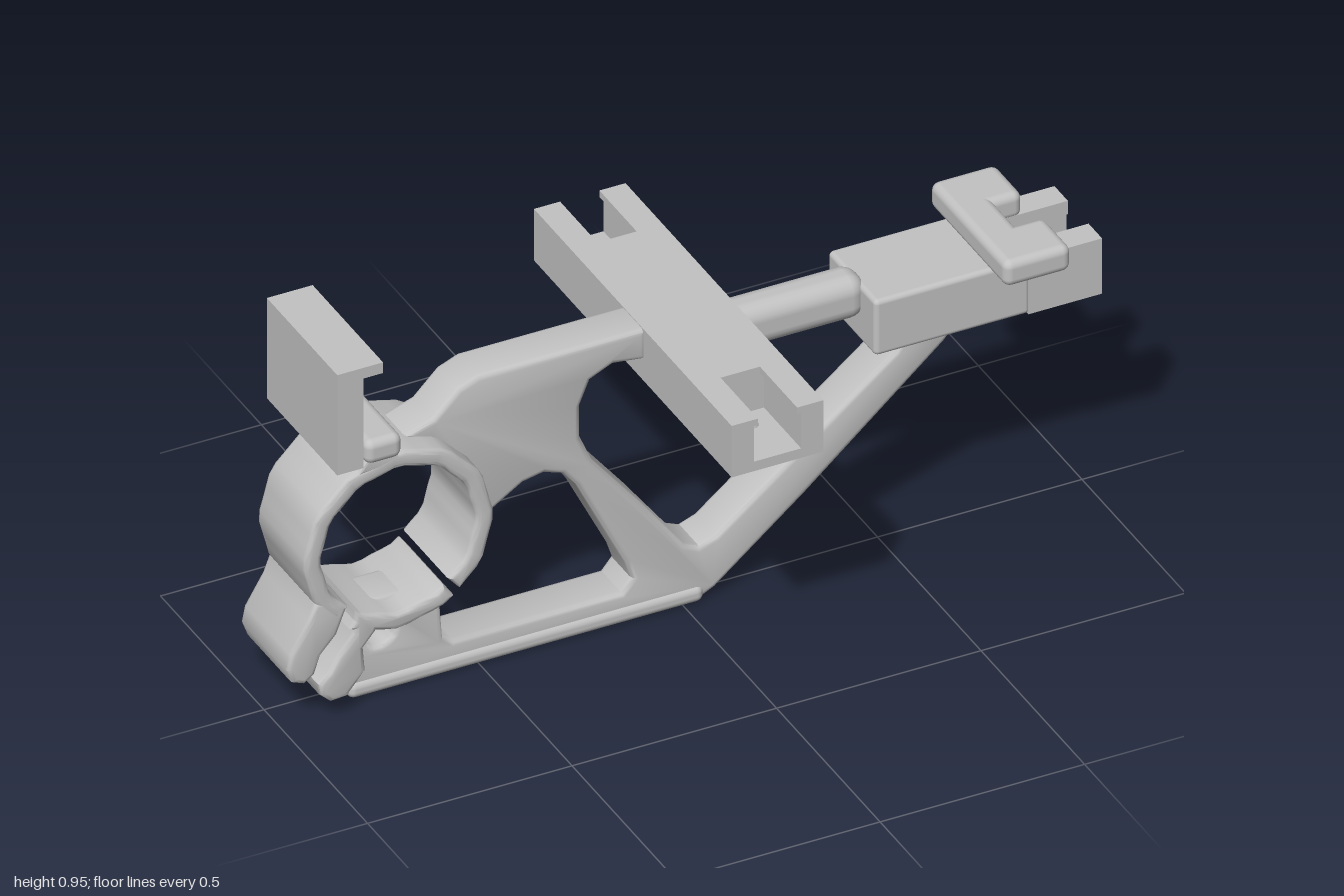
import * as THREE from 'three';
import { toCreasedNormals } from 'three/addons/utils/BufferGeometryUtils.js';
import { RoundedBoxGeometry } from 'three/addons/geometries/RoundedBoxGeometry.js';

const grey = new THREE.MeshStandardMaterial({ color: 0xc2c2c2 });
grey.name = 'light grey';
const ZC = -0.005; // middle plane of the frame and ring

function add(parent, geo, name) {
  const m = new THREE.Mesh(geo, grey);
  m.name = name;
  parent.add(m);
  return m;
}

// box given by its limits, optionally rounded
function box(parent, name, x0, x1, y0, y1, z0, z1, r = 0) {
  const s = [x1 - x0, y1 - y0, z1 - z0];
  const geo = r ? new RoundedBoxGeometry(...s, 3, r) : new THREE.BoxGeometry(...s);
  geo.translate((x0 + x1) / 2, (y0 + y1) / 2, (z0 + z1) / 2);
  return add(parent, geo, name);
}

const shapeOf = (pts) => new THREE.Shape(pts.map(([x, y]) => new THREE.Vector2(x, y)));

// outline in x,y made into a solid with softened edges, centred on ZC
function slab(parent, name, shape, halfZ, bevel) {
  const geo = new THREE.ExtrudeGeometry(shape, {
    depth: 2 * (halfZ - bevel), bevelEnabled: true, bevelThickness: bevel,
    bevelSize: bevel, bevelOffset: -bevel, bevelSegments: 3, curveSegments: 16,
  });
  geo.translate(0, 0, ZC - halfZ + bevel);
  return add(parent, toCreasedNormals(geo, 0.7), name);
}

// flat plate w by h, thickness t along z, centred, with an optional round hole
function drilledPlate(w, h, t, hx, hy, r) {
  const s = shapeOf([[-w / 2, -h / 2], [w / 2, -h / 2], [w / 2, h / 2], [-w / 2, h / 2]]);
  if (r) s.holes.push(new THREE.Path().absarc(hx, hy, r, 0, Math.PI * 2, true));
  const geo = new THREE.ExtrudeGeometry(s, { depth: t, bevelEnabled: false, curveSegments: 8 });
  return toCreasedNormals(geo.translate(0, 0, -t / 2), 0.7);
}

// open slotted end running along +z from z = 0, bottom at y = 0
function channel(name, o) {
  const g = new THREE.Group();
  g.name = name;
  const { length: L, half: W, height: H, floor: F, pocket: P, slot: S, lip } = o;
  const fl = drilledPlate(2 * W, L, F, 0, 0.045 - L / 2, o.floorHole);
  fl.rotateX(Math.PI / 2).translate(0, F / 2, L / 2);
  add(g, fl, 'channelFloor');
  for (const s of [-1, 1]) {
    const wall = drilledPlate(L, H - F, W - P, L / 2 - 0.045, 0, s > 0 ? o.sideHole : 0);
    wall.rotateY(Math.PI / 2).translate(s * (W + P) / 2, (H + F) / 2, L / 2);
    add(g, wall, 'channelWall');
    box(g, 'channelLip', Math.min(s * S, s * P), Math.max(s * S, s * P), H - lip, H, 0, L);
  }
  return g;
}

const RX = -0.724, RY = 0.427, R_IN = 0.187, R_OUT = 0.23;
// ring sector between two angles in degrees, with a gently faceted outside
function sector(a0, a1) {
  const n = Math.round((a1 - a0) / 7.5), pts = [];
  const at = (r, i) => {
    const a = THREE.MathUtils.degToRad(a0 + ((a1 - a0) * i) / n);
    const rr = r + 0.003 * Math.cos(a * 12);
    pts.push([RX + rr * Math.cos(a), RY + rr * Math.sin(a)]);
  };
  for (let i = 0; i <= n; i++) at(R_OUT, i);
  for (let i = n; i >= 0; i--) at(R_IN, i);
  return shapeOf(pts);
}

export function createModel() {
  const model = new THREE.Group();
  model.name = 'clampBracket';

  // frame: foot bar, two struts and upper web in one outline
  const frame = shapeOf([
    [-0.82, 0.01], [0.04, 0.005], [0.08, 0.025], [0.3, 0.205], [0.64, 0.5], [0.69, 0.56],
    [0.55, 0.56], [0.52, 0.51], [0.3, 0.335], [0.08, 0.16], [0.04, 0.145], [0.005, 0.16],
    [-0.1, 0.3], [-0.22, 0.45], [-0.25, 0.52], [-0.25, 0.6], [-0.225, 0.66], [-0.17, 0.685],
    [-0.09, 0.675], [-0.09, 0.755], [-0.5, 0.755], [-0.55, 0.735], [-0.61, 0.675], [-0.68, 0.65],
    [-0.63, 0.615], [-0.56, 0.56], [-0.51, 0.46], [-0.515, 0.36], [-0.46, 0.395], [-0.39, 0.44],
    [-0.34, 0.45], [-0.295, 0.435], [-0.26, 0.395], [-0.14, 0.155], [-0.125, 0.11], [-0.15, 0.08],
    [-0.56, 0.08], [-0.585, 0.095], [-0.595, 0.235], [-0.66, 0.245], [-0.79, 0.245],
    [-0.82, 0.18], [-0.82, 0.11], [-0.86, 0.05],
  ]);
  frame.holes.push(new THREE.Path().absellipse(-0.745, 0.157, 0.042, 0.036, 0, Math.PI * 2, true));
  slab(model, 'frame', frame, 0.055, 0.014);
  box(model, 'footFlange', -0.82, 0.05, 0.002, 0.045, -0.068, 0.058, 0.018);

  // split clamp ring
  slab(model, 'clampRing', sector(-49, 228), 0.115, 0.012);
  slab(model, 'clampCap', sector(239, 306), 0.115, 0.012);

  // paired clamp ears
  slab(model, 'upperEar', shapeOf([
    [-0.93, 0.32], [-0.945, 0.28], [-0.99, 0.205], [-0.998, 0.165], [-0.985, 0.13], [-0.955, 0.118],
    [-0.93, 0.135], [-0.915, 0.18], [-0.875, 0.225], [-0.85, 0.29], [-0.89, 0.33],
  ]), 0.115, 0.012);
  slab(model, 'lowerEar', shapeOf([
    [-0.83, 0.27], [-0.835, 0.215], [-0.875, 0.165], [-0.895, 0.13], [-0.92, 0.105], [-0.915, 0.075],
    [-0.89, 0.052], [-0.85, 0.055], [-0.825, 0.085], [-0.805, 0.11], [-0.81, 0.17], [-0.78, 0.205],
    [-0.77, 0.235],
  ]), 0.115, 0.012);

  // rest above the ring, with its neck
  slab(model, 'restNeck', shapeOf([
    [-0.835, 0.715], [-0.8, 0.67], [-0.83, 0.625], [-0.69, 0.635], [-0.73, 0.66], [-0.755, 0.715],
  ]), 0.115, 0.012);
  box(model, 'restPad', -0.84, -0.75, 0.695, 0.757, -0.19, 0.18, 0.02);

  // hooked plate
  box(model, 'hookPlate', -0.907, -0.843, 0.69, 0.953, -0.17, 0.17);
  box(model, 'hookLip', -0.843, -0.795, 0.925, 0.953, -0.17, 0.17);

  // cross beam with a slotted channel at each end
  box(model, 'crossBeam', -0.097, 0.127, 0.622, 0.757, -0.3, 0.295);
  for (const s of [1, -1]) {
    const end = channel('crossBeamEnd', {
      length: 0.18, half: 0.112, height: 0.135, floor: 0.025, pocket: 0.058,
      slot: 0.048, lip: 0.017, floorHole: 0.02, sideHole: 0,
    });
    end.position.set(0.015, 0.622, s > 0 ? 0.295 : -0.3);
    if (s < 0) end.rotation.y = Math.PI;
    model.add(end);
  }

  // connecting rod
  box(model, 'rod', 0.1, 0.46, 0.61, 0.72, -0.053, 0.043, 0.04);

  // end block with slotted channel, and a pad notched by the slot
  box(model, 'endBlock', 0.44, 0.82, 0.555, 0.7, -0.123, 0.107, 0.012);
  const tip = channel('endBlockChannel', {
    length: 0.18, half: 0.115, height: 0.145, floor: 0.02, pocket: 0.058,
    slot: 0.05, lip: 0.035, floorHole: 0, sideHole: 0.018,
  });
  tip.position.set(0.815, 0.555, -0.008);
  tip.rotation.y = Math.PI / 2;
  model.add(tip);
  box(model, 'endPadBridge', 0.722, 0.815, 0.69, 0.757, -0.19, 0.18, 0.02);
  box(model, 'endPadBack', 0.722, 0.885, 0.69, 0.757, -0.19, -0.056, 0.02);
  box(model, 'endPadFront', 0.722, 0.885, 0.69, 0.757, 0.044, 0.18, 0.02);

  return model;
}
